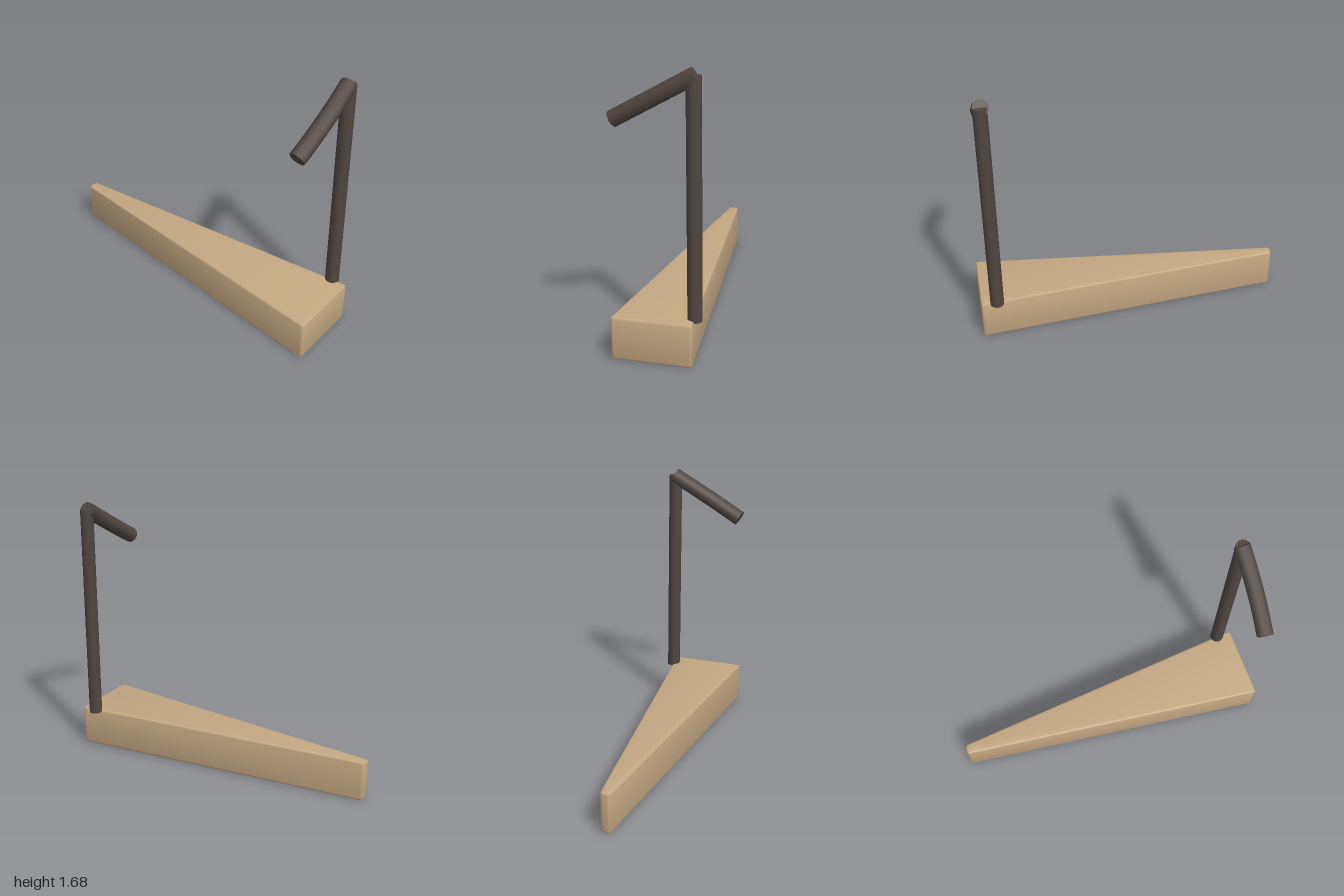
import * as THREE from 'three';
import { toCreasedNormals } from 'three/addons/utils/BufferGeometryUtils.js';

const wood = new THREE.MeshStandardMaterial({ color: 0xc4a882 });
wood.name = 'pale wood';
const dark = new THREE.MeshStandardMaterial({ color: 0x50453f });
dark.name = 'dark brown';

// Closed outline with each corner rounded by r
function roundedOutline(corners, r) {
  const pts = corners.map(([x, y]) => new THREE.Vector2(x, y));
  const shape = new THREE.Shape();
  pts.forEach((p, i) => {
    const prev = pts[(i + pts.length - 1) % pts.length];
    const next = pts[(i + 1) % pts.length];
    const a = p.clone().add(prev.clone().sub(p).setLength(r));
    const b = p.clone().add(next.clone().sub(p).setLength(r));
    if (i === 0) shape.moveTo(a.x, a.y);
    else shape.lineTo(a.x, a.y);
    shape.quadraticCurveTo(p.x, p.y, b.x, b.y);
  });
  shape.closePath();
  return shape;
}

function addMesh(parent, name, geometry, material) {
  const mesh = new THREE.Mesh(geometry, material);
  mesh.name = name;
  parent.add(mesh);
  return mesh;
}

export function createModel() {
  const group = new THREE.Group();
  group.name = 'wedgeWithBentPole';

  // Tapered wedge body, outlined in plan (x, z) with softened edges
  const bottom = 0.004, top = 0.262, bevel = 0.012;
  const outline = roundedOutline(
    [[-0.236, -1], [-0.172, -1], [0.237, 0.942], [-0.236, 1]], 0.02);
  const body = new THREE.ExtrudeGeometry(outline, {
    depth: top - bottom - 2 * bevel, bevelEnabled: true, bevelThickness: bevel,
    bevelSize: bevel, bevelOffset: -bevel, bevelSegments: 3, curveSegments: 4,
  });
  body.rotateX(Math.PI / 2).translate(0, top - bevel, 0);
  addMesh(group, 'wedgeBody', toCreasedNormals(body, 0.6), wood);

  // Upright pole
  const poleTop = 1.64, poleBottom = 0.25;
  const pole = addMesh(group, 'uprightPole',
    new THREE.CylinderGeometry(0.043, 0.043, poleTop - poleBottom, 12), dark);
  pole.position.set(0.217, (poleTop + poleBottom) / 2, 0.842);

  // Gently bowed arm sloping down from the pole top
  const curve = new THREE.QuadraticBezierCurve3(
    new THREE.Vector3(0.222, 1.64, 0.835),
    new THREE.Vector3(-0.008, 1.51, 0.877),
    new THREE.Vector3(-0.238, 1.38, 0.882));
  const radius = 0.05;
  addMesh(group, 'arm', new THREE.TubeGeometry(curve, 12, radius, 10), dark);

  // Flat caps on both arm ends
  [0, 1].forEach((t) => {
    const cap = addMesh(group, 'armCap', new THREE.CircleGeometry(radius, 10), dark);
    const outward = curve.getTangent(t).multiplyScalar(t ? 1 : -1);
    cap.position.copy(curve.getPoint(t));
    cap.quaternion.setFromUnitVectors(new THREE.Vector3(0, 0, 1), outward);
  });

  return group;
}
